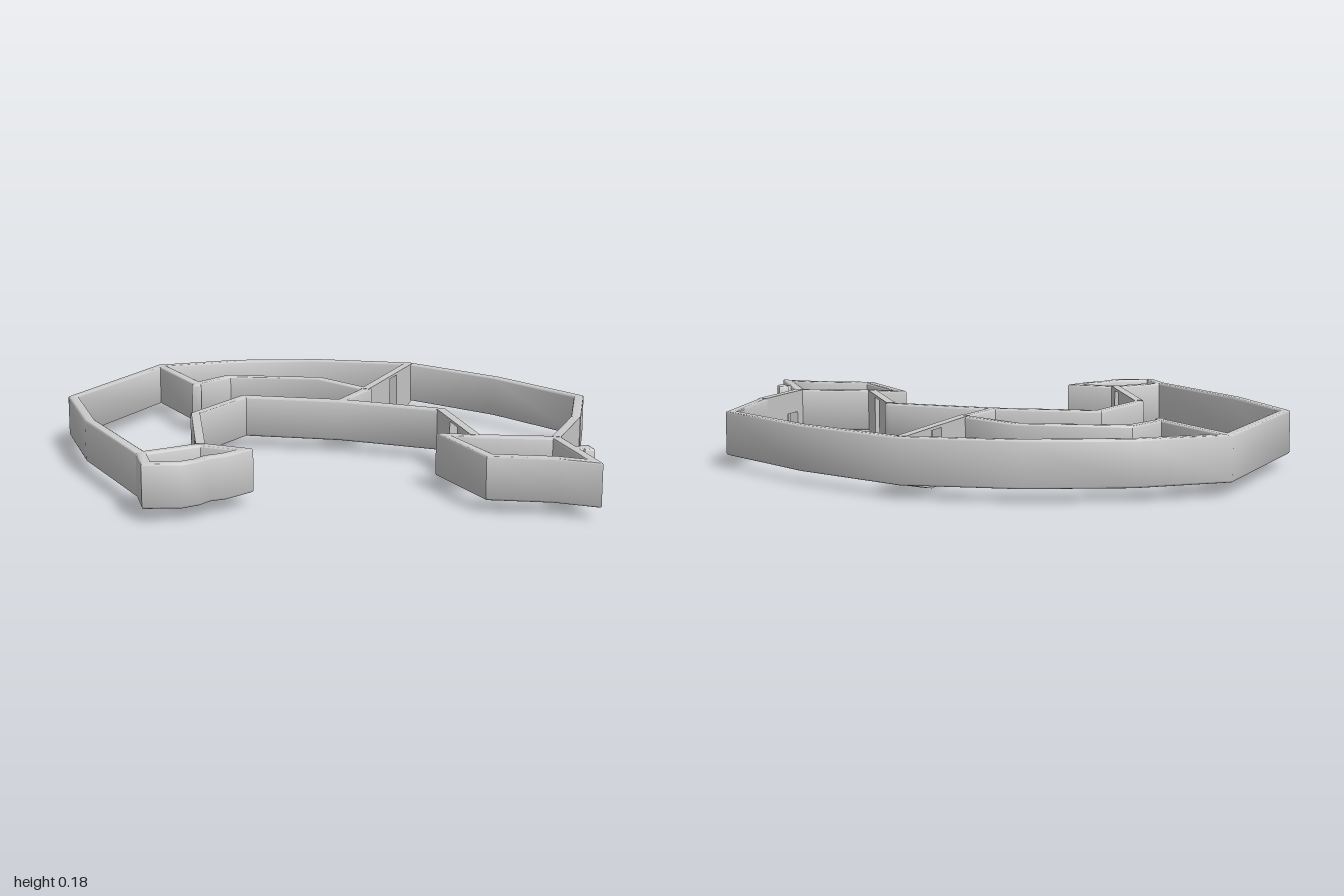
import * as THREE from 'three';
import { toCreasedNormals } from 'three/addons/utils/BufferGeometryUtils.js';

const BOTTOM = 0.039, TOP = 0.176, HALF = 0.016, BEVEL = 0.006;

export function createModel() {
  const model = new THREE.Group();
  const material = new THREE.MeshStandardMaterial({ color: 0xcccccc });

  function add(name, geometry) {
    const mesh = new THREE.Mesh(geometry, material);
    mesh.name = name;
    model.add(mesh);
    return mesh;
  }

  // Offsets a polyline of [x, z] points sideways with mitred corners
  function offset(points, distance, closed) {
    const v = points.map(([x, z]) => new THREE.Vector2(x, -z));
    const n = v.length;
    const normal = (a, b) => new THREE.Vector2(a.y - b.y, b.x - a.x).normalize();
    return v.map((p, i) => {
      const prev = i > 0 || closed ? normal(v[(i + n - 1) % n], p) : null;
      const next = i < n - 1 || closed ? normal(p, v[(i + 1) % n]) : null;
      const m = (prev ?? next).clone().add(next ?? prev).normalize();
      const scale = Math.min(2.6, 1 / Math.max(0.01, m.dot(prev ?? next)));
      return p.clone().addScaledVector(m, distance * scale);
    });
  }

  // Upright strip wall following a polyline, with softened rims;
  // closed loops run anticlockwise seen from above
  function wall(name, points, closed = false) {
    const h = HALF - BEVEL;
    const left = offset(points, h, closed), right = offset(points, -h, closed);
    const shape = new THREE.Shape(closed ? right : [...left, ...right.reverse()]);
    if (closed) shape.holes.push(new THREE.Path(left));
    const geometry = new THREE.ExtrudeGeometry(shape, {
      depth: TOP - BOTTOM - 2 * BEVEL, bevelEnabled: true,
      bevelSize: BEVEL, bevelThickness: BEVEL, bevelSegments: 2,
    });
    geometry.rotateX(-Math.PI / 2);
    geometry.translate(0, BOTTOM + BEVEL, 0);
    add(name, toCreasedNormals(geometry, 0.9));
  }

  // Flat panel from a to b with a rectangular window [s0, s1, y0, y1];
  // dip lists extra [s, y] points along its lower edge
  function panel(name, a, b, [s0, s1, y0, y1], dip = []) {
    const dx = b[0] - a[0], dz = b[1] - a[1], length = Math.hypot(dx, dz);
    const outline = [[0, BOTTOM], ...dip, [length, BOTTOM], [length, TOP + 0.001], [0, TOP + 0.001]];
    const shape = new THREE.Shape(outline.map(p => new THREE.Vector2(...p)));
    shape.holes.push(new THREE.Path(
      [[s0, y0], [s0, y1], [s1, y1], [s1, y0]].map(p => new THREE.Vector2(...p))));
    const geometry = new THREE.ExtrudeGeometry(shape, { depth: 2 * HALF - 0.004, bevelEnabled: false });
    geometry.translate(0, 0, -HALF + 0.002);
    const mesh = add(name, geometry);
    mesh.rotation.y = Math.atan2(-dz, dx);
    mesh.position.set(a[0], 0, a[1]);
  }

  // Outer rim
  wall('outerRim', [[-0.75, -0.05], [-0.6, -0.49], [-0.43, -0.8], [0.11, -0.984], [0.365, -0.85],
    [0.59, -0.64], [0.78, -0.355], [0.815, 0.03], [0.78, 0.42], [0.52, 0.6]]);
  panel('rimPanel', [0.52, 0.6], [0.265, 0.715], [0.153, 0.228, 0.046, 0.106]);

  // Closed loops at the two ends
  wall('sideLoop', [[-0.75, -0.05], [-0.814, 0.05], [-0.74, 0.118], [-0.69, 0.128], [-0.64, 0.12],
    [-0.59, 0.138], [-0.505, 0.137], [-0.56, 0.0]], true);
  wall('frontLoop', [[0.11, 0.525], [0.05, 0.445], [-0.045, 0.705], [0.07, 0.86],
    [0.115, 0.968], [0.265, 0.715]], true);

  // Inner rim with windowed panels
  wall('innerRim', [[0.3, 0.22], [0.3, 0.21], [0.165, -0.11], [-0.02, -0.39], [-0.3, -0.32]]);
  panel('innerSidePanel', [-0.56, 0], [-0.3, -0.32], [0.07, 0.13, 0.047, 0.168]);
  panel('innerFrontPanel', [0.11, 0.52], [0.3, 0.215], [0.14, 0.215, 0.047, 0.168]);

  // Cross brace whose lower edge dips under its window
  wall('crossBrace', [[0.165, -0.11], [0.345, -0.17], [0.36, -0.176]]);
  panel('crossPanel', [0.345, -0.17], [0.78, -0.355], [0.22, 0.293, 0.035, 0.168],
    [[0.03, BOTTOM], [0.22, 0], [0.293, 0]]);

  // Inner hook and its strut
  wall('innerHook', [[0.355, -0.18], [0.365, -0.41], [0.165, -0.67], [0.005, -0.66], [-0.015, -0.64]]);
  wall('hookStrut', [[0.005, -0.66], [0.11, -0.98]]);

  // Small outside tab
  wall('tabStem', [[0.19, 0.83], [0.23, 0.85]]);
  wall('tab', [[0.241, 0.837], [0.221, 0.87]]);

  return model;
}
